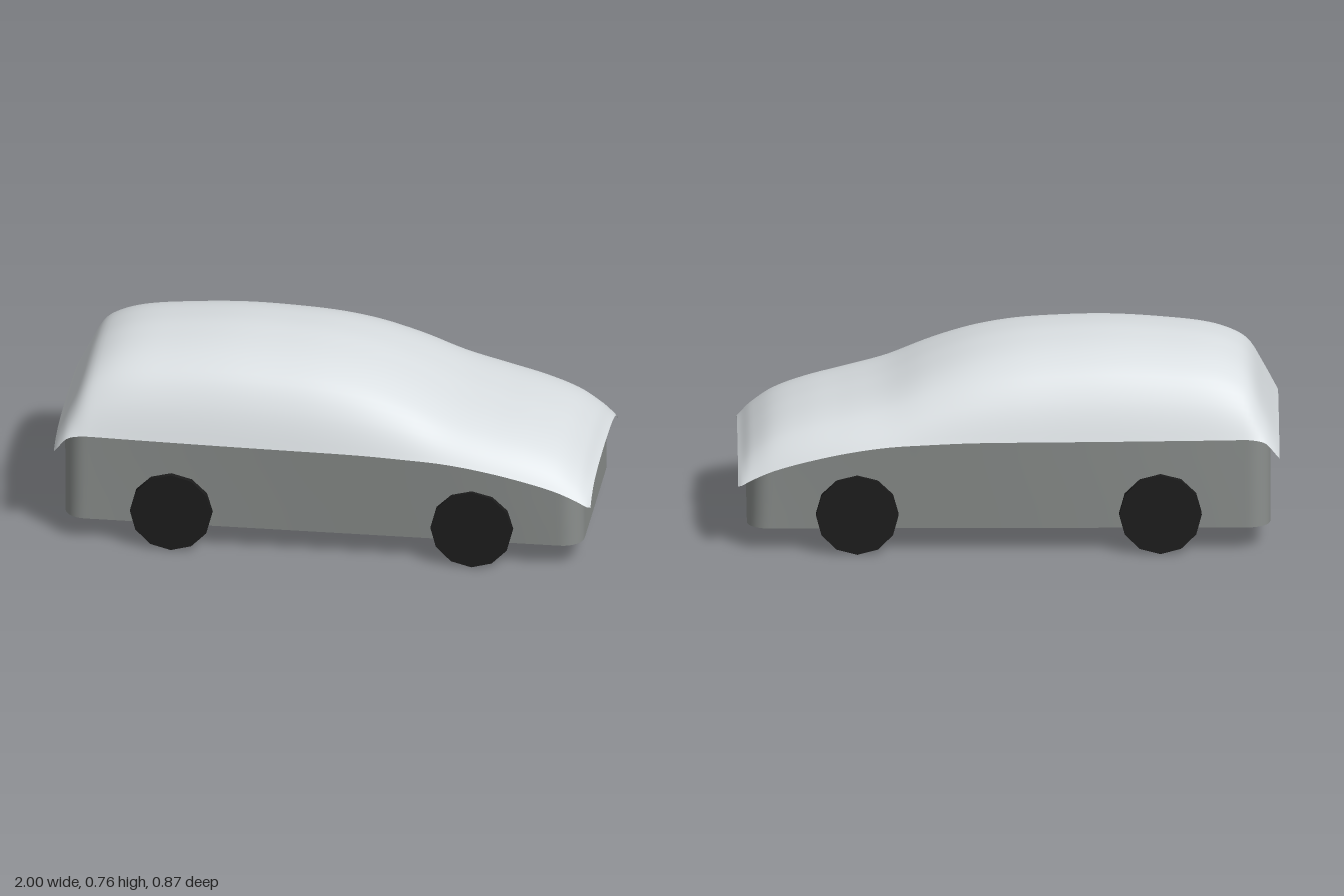
import * as THREE from 'three';

// Body stations along the car: x, roof height, rim height, half width
const STATIONS = [
  [-1, 0.42, 0.36, 0.388], [-0.985, 0.45, 0.382, 0.4], [-0.95, 0.525, 0.423, 0.406],
  [-0.9, 0.63, 0.438, 0.41], [-0.85, 0.678, 0.44, 0.412], [-0.75, 0.718, 0.44, 0.416],
  [-0.6, 0.74, 0.44, 0.421], [-0.37, 0.755, 0.44, 0.428], [-0.15, 0.748, 0.44, 0.433],
  [0, 0.733, 0.44, 0.436], [0.15, 0.7, 0.438, 0.437], [0.3, 0.645, 0.431, 0.436],
  [0.45, 0.575, 0.42, 0.432], [0.6, 0.53, 0.396, 0.427], [0.75, 0.491, 0.36, 0.419],
  [0.87, 0.445, 0.322, 0.41], [0.95, 0.385, 0.285, 0.404], [0.985, 0.345, 0.264, 0.4],
  [1, 0.33, 0.256, 0.388],
];
// Cross-section: distance from the centre line, share of the full height
const SECTION = [[0, 1], [0.23, 0.98], [0.39, 0.95], [0.54, 0.895], [0.69, 0.79],
  [0.79, 0.655], [0.89, 0.425], [0.95, 0.22], [1, 0]];

// Smooth interpolation of one table column
function sample(table, x, col) {
  let i = 0;
  while (i < table.length - 2 && x > table[i + 1][0]) i++;
  const slope = (k) => {
    const a = table[Math.max(k - 1, 0)], b = table[Math.min(k + 1, table.length - 1)];
    return (b[col] - a[col]) / (b[0] - a[0]);
  };
  const [p, q] = [table[i], table[i + 1]];
  const h = q[0] - p[0], t = (x - p[0]) / h, t2 = t * t, t3 = t2 * t;
  const m0 = i === 0 && table === SECTION ? 0 : slope(i);
  return (2 * t3 - 3 * t2 + 1) * p[col] + (t3 - 2 * t2 + t) * h * m0
    + (3 * t2 - 2 * t3) * q[col] + (t3 - t2) * h * slope(i + 1);
}
const roofAt = (x) => sample(STATIONS, x, 1);
const rimAt = (x) => sample(STATIONS, x, 2);
const widthAt = (x) => sample(STATIONS, x, 3);
const shellY = (x, s) =>
  rimAt(x) + (roofAt(x) - rimAt(x)) * sample(SECTION, Math.min(Math.abs(s), 1), 1);

// Surface from a rule that maps (u, v) in 0..1 to a point
function surface(nu, nv, rule) {
  const pos = [], index = [];
  for (let i = 0; i <= nu; i++) for (let j = 0; j <= nv; j++) pos.push(...rule(i / nu, j / nv));
  for (let i = 0; i < nu; i++) for (let j = 0; j < nv; j++) {
    const a = i * (nv + 1) + j, b = a + nv + 1;
    index.push(a, a + 1, b, b, a + 1, b + 1);
  }
  const g = new THREE.BufferGeometry();
  g.setAttribute('position', new THREE.Float32BufferAttribute(pos, 3));
  g.setIndex(index);
  g.computeVertexNormals();
  return g;
}

function material(name, color) {
  const m = new THREE.MeshStandardMaterial({ color, side: THREE.DoubleSide });
  m.name = name;
  return m;
}

export function createModel() {
  const car = new THREE.Group();
  car.name = 'car';
  const silver = material('silver paint', 0xdadfe2);
  const grey = material('grey lower body', 0x8e9290);
  const rubber = material('black rubber', 0x1c1c1c);
  const glass = material('dark glass', 0x1e2022);
  const add = (name, geometry, mat, parent = car) => {
    const mesh = new THREE.Mesh(geometry, mat);
    mesh.name = name;
    parent.add(mesh);
    return mesh;
  };

  // Upper shell: stations packed closer towards both ends
  add('upperShell', surface(90, 44, (u, v) => {
    const x = -Math.cos(u * Math.PI), s = Math.sin((v - 0.5) * Math.PI);
    return [x, shellY(x, s), s * widthAt(x)];
  }), silver);

  // Inner body roof, just beneath the shell
  add('innerRoof', surface(70, 36, (u, v) => {
    const x = -0.962 * Math.cos(u * Math.PI), s = 0.985 * Math.sin((v - 0.5) * Math.PI);
    return [x, shellY(x, s) - 0.01, s * widthAt(x) * 0.985];
  }), grey);

  // Lower body: open rounded-rectangle wall rising to meet the shell
  const L = 0.967, W = 0.38, R = 0.08, H = Math.PI / 2;
  const plan = new THREE.Shape();
  plan.moveTo(0, -W);
  plan.lineTo(L - R, -W);
  plan.absarc(L - R, -W + R, R, -H, 0);
  plan.absarc(L - R, W - R, R, 0, H);
  plan.absarc(-L + R, W - R, R, H, 2 * H);
  plan.absarc(-L + R, -W + R, R, 2 * H, 3 * H);
  plan.lineTo(0, -W);
  const N = 320;
  const ring = plan.getSpacedPoints(N);
  add('lowerBody', surface(N, 4, (u, v) => {
    const p = ring[Math.round(u * N)];
    const topZ = p.y * (widthAt(p.x) - 0.008) / W;
    const topY = shellY(p.x, topZ / widthAt(p.x)) - 0.004;
    return [p.x, 0.09 + (topY - 0.09) * v, p.y + (topZ - p.y) * v];
  }), grey);

  // Glass panels lining the inside of the roof
  const pane = (name, x0, x1, s0, s1) => add(name, surface(16, 16, (u, v) => {
    const x = x0 + (x1 - x0) * u, s = s0 + (s1 - s0) * v;
    return [x, shellY(x, s) - 0.022, s * widthAt(x) * 0.968];
  }), glass);
  pane('leftSideWindow', -0.7, -0.03, 0.76, 0.98);
  pane('rightSideWindow', -0.7, -0.03, -0.98, -0.76);
  pane('windscreen', 0.08, 0.41, -0.7, 0.7);
  pane('rearWindow', -0.94, -0.83, -0.7, 0.7);

  // Wheels: twelve-sided barrels, closed on the outside only
  const r = 0.1525, inner = 0.313, outer = 0.42;
  const barrel = new THREE.CylinderGeometry(r, r, outer - inner, 12, 1, true).rotateX(H);
  const cap = new THREE.CircleGeometry(r, 12);
  for (const [end, x] of [['front', 0.56], ['rear', -0.56]]) {
    for (const side of [1, -1]) {
      const wheel = new THREE.Group();
      wheel.name = end + (side > 0 ? 'WheelNear' : 'WheelFar');
      wheel.position.set(x, r, 0);
      if (side < 0) wheel.rotation.y = Math.PI;
      add('wheelBarrel', barrel, rubber, wheel).position.z = (inner + outer) / 2;
      add('wheelCap', cap, rubber, wheel).position.z = outer;
      car.add(wheel);
    }
  }
  return car;
}
